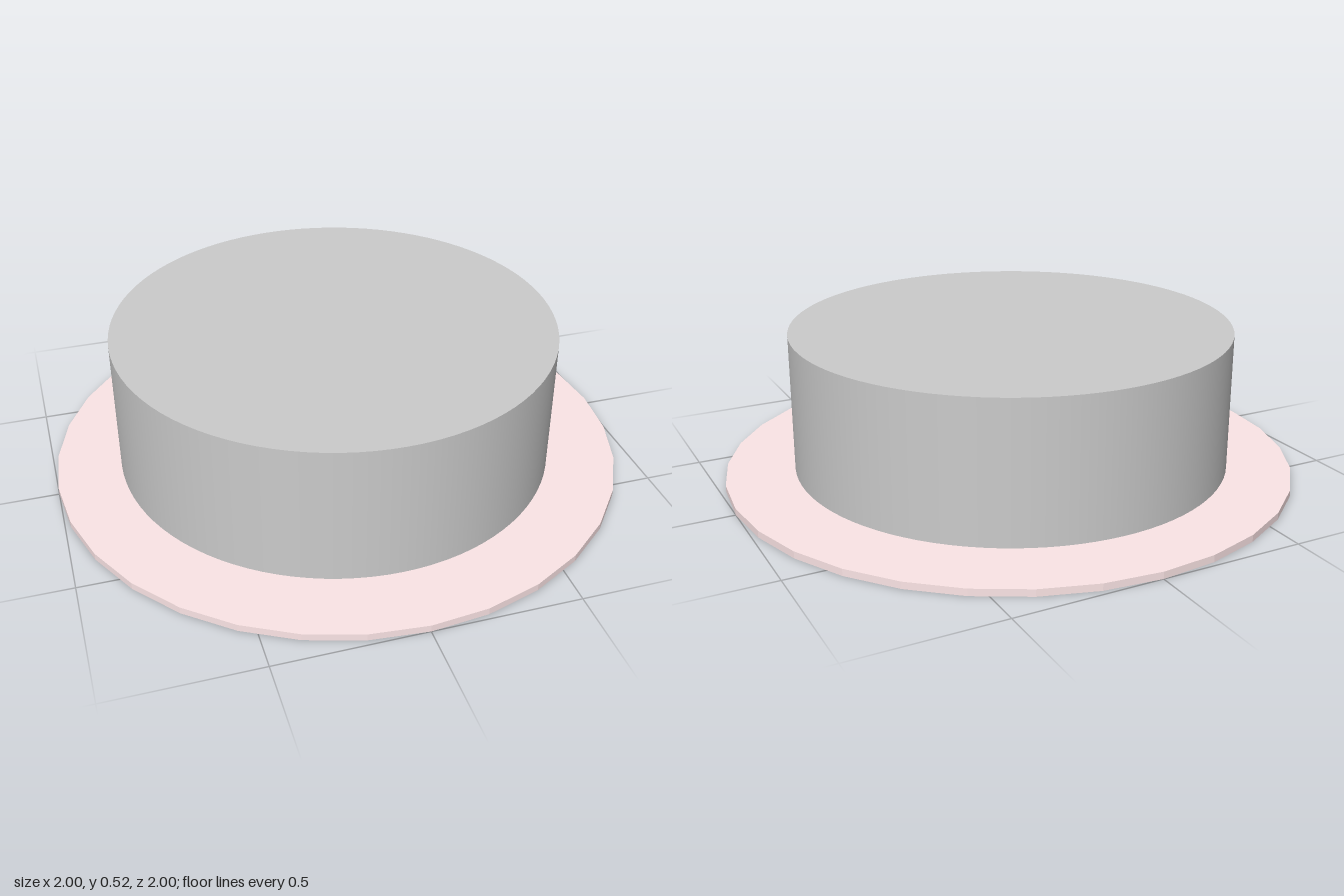
import * as THREE from 'three';

// Closed upright cylinder spanning y0..y1
function disc(name, radius, y0, y1, sides, material, x = 0, z = 0) {
  const mesh = new THREE.Mesh(new THREE.CylinderGeometry(radius, radius, y1 - y0, sides), material);
  mesh.name = name;
  mesh.position.set(x, (y0 + y1) / 2, z);
  return mesh;
}

export function createModel() {
  const group = new THREE.Group();
  group.name = 'drumOnPlate';
  const grey = new THREE.MeshStandardMaterial({ color: 0xcccccc });
  const pink = new THREE.MeshStandardMaterial({ color: 0xfde6e7, flatShading: true });

  // Thin faceted base plate
  group.add(disc('basePlate', 1, 0, 0.024, 32, pink));

  // Smooth drum floating just above the plate, slightly off centre, with a flush lid
  const cx = -0.007, cz = -0.004, r = 0.767;
  group.add(disc('drumBody', r, 0.037, 0.502, 96, grey, cx, cz));
  group.add(disc('drumLid', r, 0.502, 0.519, 96, grey, cx, cz));
  return group;
}
